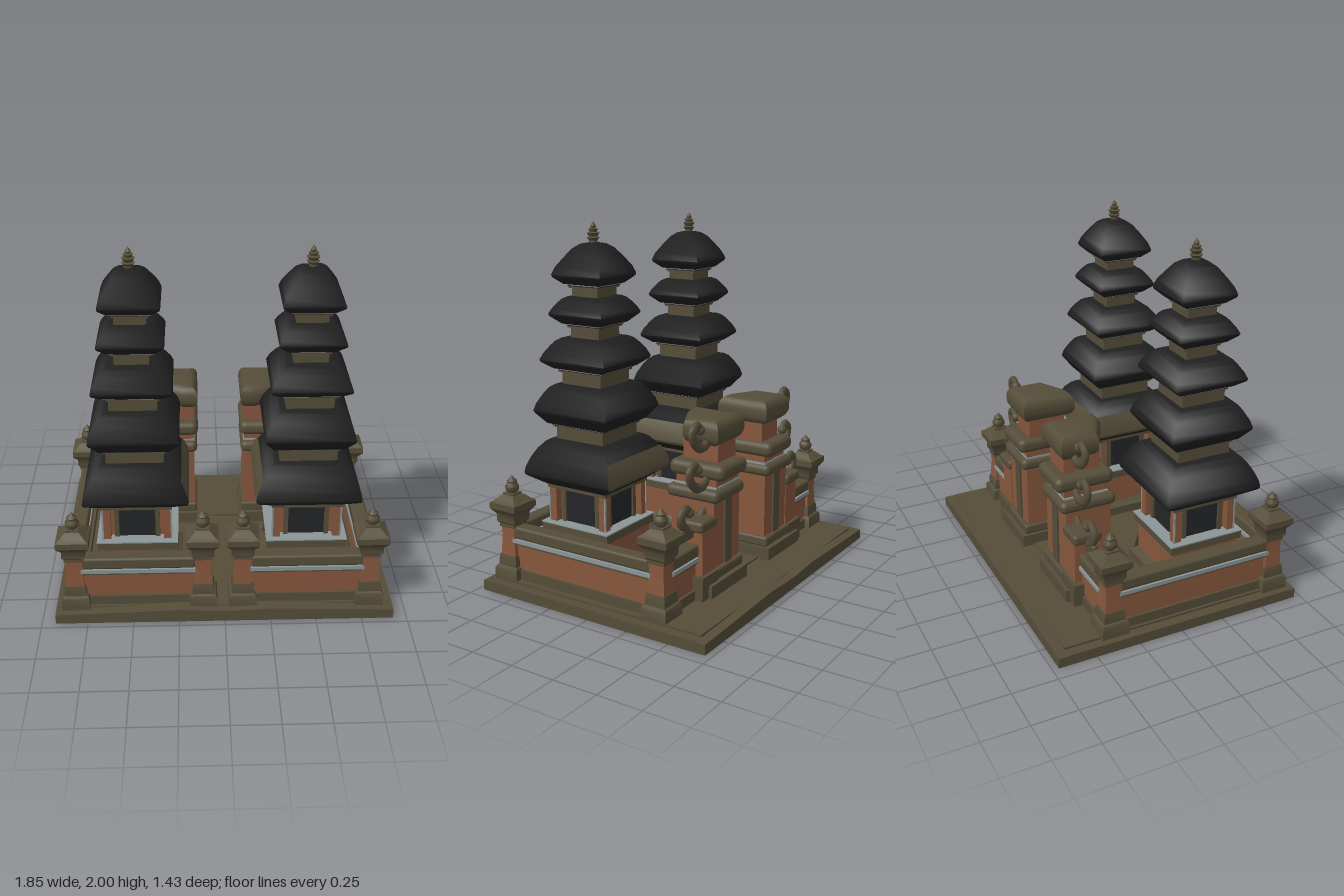
import * as THREE from 'three';
import { toCreasedNormals } from 'three/addons/utils/BufferGeometryUtils.js';
import { RoundedBoxGeometry } from 'three/addons/geometries/RoundedBoxGeometry.js';

const mat = (name, color) => {
  const m = new THREE.MeshStandardMaterial({ color });
  m.name = name;
  return m;
};
const stone = mat('stone', 0x554d39);
const brick = mat('brick', 0x87573d);
const thatch = mat('thatch', 0x202021);
const door = mat('door', 0x242527);
const trim = mat('trim', 0x8b9697);
const maroon = mat('maroon', 0x3c2430);

function add(parent, name, geo, material, x = 0, y = 0, z = 0) {
  const mesh = new THREE.Mesh(geo, material);
  mesh.name = name;
  mesh.position.set(x, y, z);
  parent.add(mesh);
  return mesh;
}

// Box given by its extents
function block(parent, name, material, [x0, x1], [y0, y1], [z0, z1], round = 0) {
  const w = Math.abs(x1 - x0), h = y1 - y0, d = z1 - z0;
  const geo = round ? new RoundedBoxGeometry(w, h, d, 3, round) : new THREE.BoxGeometry(w, h, d);
  return add(parent, name, geo, material, (x0 + x1) / 2, (y0 + y1) / 2, (z0 + z1) / 2);
}

const points = (profile, k = 1) => profile.map(([r, y]) => new THREE.Vector2(r * k, y));

// Square shell, open at both ends, from [half width, height] pairs, bottom to top
const squareShell = (profile, crease = 0.55) =>
  toCreasedNormals(new THREE.LatheGeometry(points(profile, Math.SQRT2), 4, Math.PI / 4), crease);

// The same, closed at both ends
const squareTurned = (profile, crease) =>
  squareShell([[0, profile[0][1]], ...profile, [0, profile[profile.length - 1][1]]], crease);

// One side of a square shell; side 0 faces +z, 1 +x, 2 -z, 3 -x
const squareSide = (profile, side) => toCreasedNormals(
  new THREE.LatheGeometry(points(profile, Math.SQRT2), 1, (side - 0.5) * Math.PI / 2, Math.PI / 2), 0.55);

const roundTurned = (profile) => toCreasedNormals(new THREE.LatheGeometry(points(profile), 16), 0.7);

// Fence post with moulded foot, brick shaft, cap and bud
function makePost(x, z) {
  const g = new THREE.Group();
  g.name = 'fencePost';
  g.position.set(x, 0, z);
  add(g, 'postFoot', squareTurned([[.077, .05], [.077, .12], [.07, .135], [.06, .14], [.06, .17], [.054, .2]]), stone);
  add(g, 'postShaft', squareTurned([[.051, .19], [.044, .3], [.046, .38]]), brick);
  add(g, 'postCap', squareTurned([[.052, .36], [.052, .38], [.062, .39], [.062, .43], [.068, .44], [.088, .465],
    [.088, .5], [.07, .51], [.05, .53], [.035, .54], [.035, .55]]), stone);
  add(g, 'postBud', roundTurned([[.02, .545], [.036, .565], [.038, .585], [.026, .605], [.028, .615], [.012, .63], [0, .648]]), stone);
  return g;
}

// Straight fence wall between two points along x or z
function makeWall(x0, z0, x1, z1) {
  const g = new THREE.Group();
  g.name = 'fenceWall';
  const layers = [
    ['wallFoot', stone, .05, .125, .085, 0], ['wallPanel', brick, .125, .27, .055, 0],
    ['wallTrim', trim, .278, .3, .094, 0], ['wallLedge', stone, .265, .278, .08, 0], ['wallCoping', stone, .3, .37, .088, .015],
  ];
  for (const [name, m, y0, y1, t, r] of layers) {
    const alongX = z0 === z1, h = t / 2;
    block(g, name, m, alongX ? [x0, x1] : [x0 - h, x0 + h], [y0, y1], alongX ? [z0 - h, z0 + h] : [z0, z1], r);
  }
  return g;
}

// Five-tiered shrine tower; bareSides are the lowest roof's sides with a stone eave
function makeTower(x, z, bareSides) {
  const g = new THREE.Group();
  g.name = 'shrineTower';
  g.position.set(x, 0, z);
  add(g, 'towerPlinth', squareShell([[.24, .06], [.24, .12], [.22, .13], [.2, .15]]), stone);
  add(g, 'towerPedestal', squareShell([[.2, .14], [.2, .33]]), brick);
  add(g, 'pedestalHollow', squareShell([[0, .3], [.19, .3], [.235, .03]]), stone);
  add(g, 'towerFloor', squareTurned([[.22, .32], [.22, .366]]), stone);
  add(g, 'floorEdge', squareTurned([[.224, .366], [.224, .373]]), trim);
  add(g, 'shrineRoom', squareTurned([[.145, .36], [.145, .6]]), brick);
  add(g, 'roomLintel', squareTurned([[.195, .565], [.195, .6]]), stone);
  // Doors and framing on all four sides
  for (let i = 0; i < 4; i++) {
    const side = new THREE.Group();
    side.name = 'roomSide';
    side.rotation.y = i * Math.PI / 2;
    block(side, 'doorPanel', door, [-.1, .1], [.37, .57], [.145, .153]);
    for (const s of [-1, 1]) {
      block(side, 'doorJamb', stone, [s * .1, s * .125], [.37, .57], [.145, .165]);
      block(side, 'postEdge', trim, [s * .184, s * .19], [.37, .57], [.188, .193]);
    }
    block(side, 'cornerPost', brick, [.145, .188], [.37, .575], [.145, .188]);
    g.add(side);
  }
  const roofs = [
    [[.2, .585], [.278, .642], [.284, .655], [.278, .69], [.258, .74], [.23, .79], [.2, .825], [.18, .838]],
    [[.19, .925], [.236, .985], [.242, 1.0], [.23, 1.04], [.2, 1.095], [.178, 1.125], [.155, 1.14]],
    [[.16, 1.225], [.208, 1.262], [.213, 1.275], [.198, 1.31], [.17, 1.352], [.15, 1.376], [.127, 1.39]],
    [[.125, 1.465], [.171, 1.508], [.175, 1.52], [.163, 1.545], [.138, 1.58], [.12, 1.6], [.1, 1.61]],
    [[.115, 1.675], [.156, 1.712], [.16, 1.725], [.145, 1.765], [.116, 1.81], [.08, 1.86], [.05, 1.883], [.02, 1.89]],
  ];
  for (const p of roofs) add(g, 'thatchRoof', squareTurned(p, 1.6), thatch);
  for (const side of bareSides) {
    add(g, 'stoneEave', squareSide([[.281, .64], [.288, .655], [.282, .69], [.262, .742], [.248, .768]], side), stone);
  }
  // Storeys between roofs: narrow neck stepping out under the next roof
  const necks = [[.155, .83, .925], [.128, 1.135, 1.225], [.092, 1.385, 1.465], [.084, 1.605, 1.675]];
  for (const [r, y0, y1] of necks) {
    add(g, 'storey', squareTurned([[r, y0], [r, y1 - .024], [r + .012, y1 - .022], [r + .012, y1 - .01]]), stone);
    add(g, 'storeyCornice', squareTurned([[r + .016, y1 - .012], [r + .016, y1 - .004]]), maroon);
    add(g, 'storeyTrim', squareTurned([[r + .028, y1 - .004], [r + .028, y1 + .004]]), trim);
  }
  add(g, 'finial', roundTurned([[.024, 1.88], [.022, 1.9], [.034, 1.915], [.022, 1.92], [.034, 1.94], [.02, 1.945],
    [.026, 1.96], [.012, 1.965], [.016, 1.975], [0, 2.0]]), stone);
  return g;
}

// Half of the split gate; s is the side of the model it stands on
function makeGateHalf(s) {
  const g = new THREE.Group();
  g.name = 'gateHalf';
  const X = (a, b) => [s * a, s * b];
  const layers = [
    ['gateFoot', stone, .125, .5, .06, .14, -.49, -.15, 0],
    ['gatePlinth', stone, .135, .46, .14, .2, -.47, -.165, .015],
    ['gateBody', brick, .148, .41, .2, .56, -.445, -.18, 0],
    ['gateCornice', stone, .13, .43, .56, .63, -.475, -.15, .03],
    ['gateTrim', trim, .145, .39, .628, .64, -.445, -.185, 0],
    ['gateMiddle', brick, .15, .38, .62, .69, -.44, -.19, 0],
    ['gateUpperCornice', stone, .125, .4, .675, .76, -.49, -.15, .035],
    ['gateNeck', brick, .15, .33, .75, .88, -.42, -.205, 0],
    ['gateWing', brick, .4, .53, .1, .44, -.45, -.315, 0],
    ['gateWingCap', stone, .4, .56, .44, .5, -.465, -.3, .02],
    ['gateWingFoot', stone, .4, .56, .07, .2, -.47, -.29, 0],
    ['gatePilaster', stone, .24, .31, .2, .56, -.455, -.17, 0],
  ];
  for (const [name, m, x0, x1, y0, y1, z0, z1, r] of layers) block(g, name, m, X(x0, x1), [y0, y1], [z0, z1], r);

  // Bulging crown, cut off at the front outer corner
  const b = .055;
  const outline = [[.125 + b, .145 + b], [.2, .145 + b], [.4 - b, .275], [.4 - b, .46 - b], [.125 + b, .46 - b]];
  const shape = new THREE.Shape(outline.map(([x, z]) => new THREE.Vector2(s * x, z)));
  const crown = new THREE.ExtrudeGeometry(shape, { depth: .02, bevelThickness: .062, bevelSize: b, bevelSegments: 6 });
  crown.rotateX(-Math.PI / 2);
  add(g, 'gateCrown', toCreasedNormals(crown, .7), stone, 0, .918, 0);

  // Curling ornaments stepping down the outer side
  const curls = [[.36, .9, 1.35], [.38, .69, 1.4], [.46, .48, 1.4]];
  for (const [x, y, k] of curls) {
    const path = [[-.05, .03], [.04, -.03], [.1, -.005], [.12, .04], [.09, .065], [.065, .045]];
    const curve = new THREE.CatmullRomCurve3(path.map(([u, v]) => new THREE.Vector3(s * (x + u * k), y + v * k, 0)));
    const scroll = new THREE.TubeGeometry(curve, 28, .027, 8).scale(1, 1, .7);
    add(g, 'gateScroll', scroll, stone, 0, 0, -.38);
    const tip = curve.getPoint(1);
    add(g, 'scrollTip', new THREE.SphereGeometry(.028, 10, 8), stone, tip.x, tip.y, -.38);
  }
  block(g, 'ornamentFin', stone, X(.4, .64), [.4, .47], [-.395, -.365], .012);
  return g;
}

// Ground: raised floor with openings under the towers, inside a deeper rim
function makeGround() {
  const g = new THREE.Group();
  g.name = 'ground';
  const rect = (x, z, w, d) => [[-w, -d], [w, -d], [w, d], [-w, d]].map(([a, c]) => new THREE.Vector2(x + a, z + c));
  const floor = new THREE.Shape(rect(0, 0, .87, .66));
  for (const s of [-1, 1]) floor.holes.push(new THREE.Path(rect(s * .467 - .01, -.27, .235, .235)));
  const plate = new THREE.ExtrudeGeometry(floor, { depth: .04, bevelEnabled: false }).rotateX(-Math.PI / 2);
  add(g, 'groundFloor', plate, stone, 0, .03, 0);

  const half = [[.925, 0], [.925, .056], [.5, .068], [.25, .077], [.04, .066]];
  const rim = new THREE.Shape(points([...half, ...half.map(([x, y]) => [-x, y]).reverse()]));
  for (const z of [-.715, .645]) {
    add(g, 'groundRim', new THREE.ExtrudeGeometry(rim, { depth: .07, bevelEnabled: false }), stone, 0, 0, z);
  }
  for (const s of [-1, 1]) block(g, 'groundSideRim', stone, [s * .855, s * .925], [0, .058], [-.65, .65]);
  return g;
}

export function createModel() {
  const root = new THREE.Group();
  root.name = 'templeCourtyard';
  const court = new THREE.Group();
  court.name = 'courtyard';
  court.position.x = -.01;
  root.add(makeGround(), court);
  block(court, 'gatePath', stone, [-.13, .13], [.06, .08], [-.42, -.22]);

  court.add(makeTower(-.467, .27, [1]), makeTower(.467, .27, [2, 3]));
  for (const s of [-1, 1]) {
    court.add(makeGateHalf(s));
    for (const [x, z] of [[.803, .6], [.108, .6], [.803, -.375]]) court.add(makePost(s * x, z));
    court.add(makeWall(s * .15, .6, s * .77, .6));
    court.add(makeWall(s * .803, -.34, s * .803, .57));
    court.add(makeWall(s * .45, -.38, s * .77, -.38));
  }
  return root;
}
